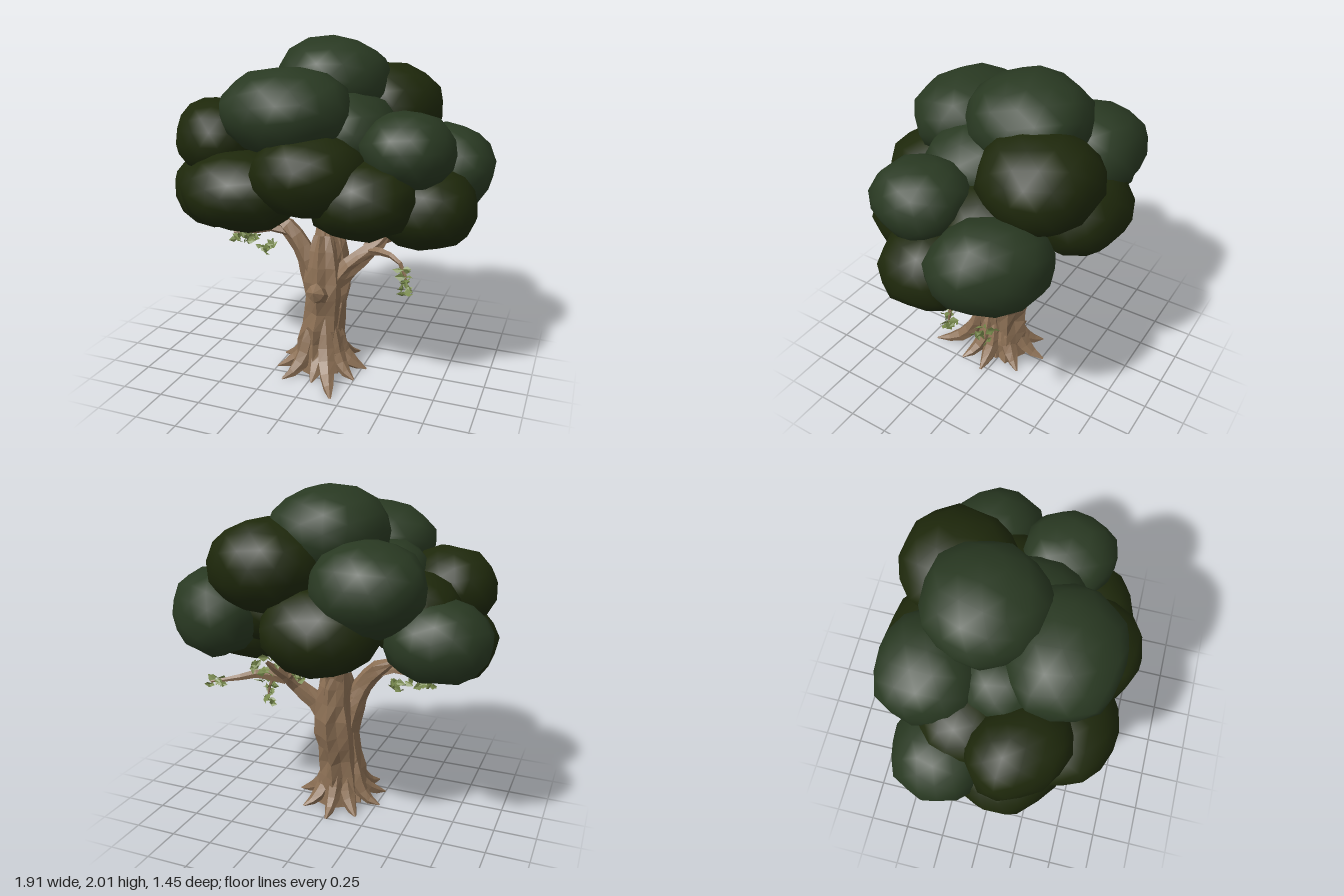
import * as THREE from 'three';
import { mergeVertices } from 'three/addons/utils/BufferGeometryUtils.js';

const material = (name, color, extra = {}) => Object.assign(new THREE.MeshStandardMaterial({ color, ...extra }), { name });

// Small seeded random generator
function seeded(seed) {
  return () => {
    seed = (seed * 16807) % 2147483647;
    return seed / 2147483647;
  };
}

export function createModel() {
  const tree = new THREE.Group();
  tree.name = 'tree';
  const bark = material('bark brown', 0x8b6f54, { flatShading: true });
  const lightGreen = material('light foliage green', 0x293922);
  const darkGreen = material('dark foliage green', 0x1e280b);
  const leafGreen = material('small leaf green', 0x788a4c, { flatShading: true, side: THREE.DoubleSide });
  const rand = seeded(4217);

  const add = (name, geometry, mat) => {
    const mesh = new THREE.Mesh(geometry, mat);
    mesh.name = name;
    tree.add(mesh);
    return mesh;
  };

  // Ridged, tapering tube along a path; kept above the ground
  function limb(name, path, radii, sides = 7, segments = 6, ridge = 0.14) {
    const curve = new THREE.CatmullRomCurve3(path.map((p) => new THREE.Vector3(...p)));
    const geo = new THREE.TubeGeometry(curve, segments, 1, sides);
    const pos = geo.attributes.position;
    const v = new THREE.Vector3();
    for (let i = 0; i <= segments; i++) {
      const centre = curve.getPointAt(i / segments);
      const t = (i / segments) * (radii.length - 1);
      const k = Math.min(Math.floor(t), radii.length - 2);
      const r = THREE.MathUtils.lerp(radii[k], radii[k + 1], t - k);
      const bumps = Array.from({ length: sides }, (_, j) =>
        1 + ridge * ((j % 2 ? -0.6 : 0.6) + (rand() - 0.5) * 1.2));
      for (let j = 0; j <= sides; j++) {
        const n = i * (sides + 1) + j;
        v.fromBufferAttribute(pos, n).sub(centre).multiplyScalar(r * bumps[j % sides]).add(centre);
        pos.setXYZ(n, v.x, Math.max(0, v.y), v.z);
      }
    }
    geo.computeVertexNormals();
    add(name, geo, bark);
  }

  // Trunk of two grown-together stems, and its underside
  limb('frontTrunk', [[0, 0, 0.09], [-0.01, 0.2, 0.09], [0.01, 0.4, 0.085], [0.01, 0.6, 0.08], [0, 0.85, 0.05]],
    [0.15, 0.12, 0.11, 0.105, 0.1, 0.09, 0.05], 12, 9, 0.2);
  limb('rearTrunk', [[0, 0, 0.02], [-0.01, 0.2, 0.01], [0.01, 0.4, -0.01], [0.015, 0.6, -0.05], [0, 0.9, -0.05]],
    [0.15, 0.12, 0.11, 0.11, 0.105, 0.09, 0.07], 12, 9, 0.2);
  add('trunkUnderside', new THREE.CircleGeometry(0.15, 12).rotateX(Math.PI / 2), bark).position.set(0, 0.002, 0.06);

  // Roots spreading from the foot of the trunk: tip x, tip z, height on the trunk
  const roots = [[0.28, 0.04, 0.2], [0.25, 0.2, 0.26], [0.19, 0.45, 0.3], [0.02, 0.32, 0.22], [-0.16, 0.34, 0.28],
    [-0.25, 0.2, 0.2], [-0.27, 0.02, 0.27], [-0.18, -0.17, 0.22], [-0.02, -0.26, 0.3], [0.17, -0.17, 0.24]];
  roots.forEach(([x, z, top]) => {
    const at = (f, y) => [x * f, y, 0.055 + (z - 0.055) * f];
    limb('root', [at(0.3, top + 0.06), at(0.4, top * 0.5), at(0.66, 0.035), at(1, 0)],
      [0.005, 0.04, 0.055, 0.05, 0.035, 0.006], 6, 6);
  });

  // Cut stub on the front of the trunk
  limb('stub', [[0.02, 0.45, 0.1], [0.02, 0.52, 0.18], [0.02, 0.56, 0.27], [0.02, 0.565, 0.28]],
    [0.07, 0.065, 0.05, 0.052, 0.055, 0], 8, 5, 0.1);

  // Branches and twigs: name, path, radii
  const branches = [
    ['centreBranch', [[0.01, 0.5, 0], [0.01, 0.75, -0.03], [-0.02, 1, -0.09], [-0.04, 1.25, -0.15]], [0.1, 0.09, 0.065, 0.05]],
    ['leftBranch', [[-0.03, 0.48, 0.05], [-0.09, 0.7, 0.07], [-0.19, 0.86, 0.08], [-0.3, 0.94, 0.08], [-0.36, 0.97, 0.08]], [0.08, 0.075, 0.062, 0.052, 0.045, 0]],
    ['rightBranch', [[0.04, 0.46, 0.02], [0.14, 0.64, 0.01], [0.26, 0.75, -0.03], [0.35, 0.84, -0.06], [0.4, 0.94, -0.08]], [0.08, 0.065, 0.055, 0.045, 0.03, 0]],
    ['rightFork', [[0.26, 0.76, -0.04], [0.31, 0.86, -0.13], [0.34, 0.92, -0.2], [0.36, 0.97, -0.25]], [0.04, 0.035, 0.028, 0.01]],
    ['leftTwig', [[-0.17, 0.84, 0.08], [-0.3, 0.88, 0.12], [-0.4, 0.86, 0.15], [-0.54, 0.84, 0.17]], [0.035, 0.022, 0.015, 0.006]],
    ['rightTwig', [[0.32, 0.81, -0.08], [0.46, 0.85, -0.16], [0.58, 0.83, -0.24], [0.72, 0.81, -0.3]], [0.035, 0.024, 0.016, 0.006]],
    ['hangingTwig', [[0.28, 0.76, -0.02], [0.4, 0.77, 0.03], [0.49, 0.73, 0.07], [0.53, 0.6, 0.08]], [0.03, 0.02, 0.014, 0.005]],
    ['innerTwig', [[0.28, 0.83, -0.1], [0.22, 0.89, -0.16], [0.14, 0.93, -0.22]], [0.02, 0.014, 0.006]],
  ];
  branches.forEach(([name, path, radii], i) => limb(name, path, radii, i < 3 ? 10 : 5, i < 3 ? 8 : 5, 0.18));

  // Foliage masses: uneven rounded lumps [x, y, z, rx, ry, rz, yaw]
  function foliage(name, [x, y, z, rx, ry, rz, yaw = 0], mat) {
    let geo = new THREE.IcosahedronGeometry(1, 2);
    geo.deleteAttribute('uv');
    geo.deleteAttribute('normal');
    geo = mergeVertices(geo, 1e-4);
    geo.rotateX(rand() * 6).rotateY(rand() * 6);
    const pos = geo.attributes.position;
    for (let i = 0; i < pos.count; i++) {
      const p = [pos.getX(i), pos.getY(i), pos.getZ(i)];
      const e = 2.15;
      const norm = Math.pow(p.reduce((s, c) => s + Math.pow(Math.abs(c), e), 0), 1 / e);
      const f = (0.955 + rand() * 0.09) / norm;
      pos.setXYZ(i, p[0] * f * rx, p[1] * f * ry, p[2] * f * rz);
    }
    geo.rotateY(yaw).computeVertexNormals();
    add(name, geo, mat).position.set(x, y, z);
  }

  const lightMasses = [
    [-0.01, 1.75, -0.14, 0.34, 0.25, 0.34],
    [-0.12, 1.63, 0.31, 0.37, 0.24, 0.32],
    [0.54, 1.44, 0.2, 0.26, 0.21, 0.27],
    [0.65, 1.26, -0.3, 0.33, 0.25, 0.25, -Math.PI / 4],
    [-0.32, 1.5, -0.37, 0.32, 0.25, 0.3],
    [-0.67, 1.22, -0.24, 0.29, 0.23, 0.27],
    [0.12, 1.48, 0.08, 0.33, 0.25, 0.32],
    [-0.28, 1.48, 0.02, 0.26, 0.22, 0.26],
  ];
  const darkMasses = [
    [-0.62, 1.43, 0.18, 0.3, 0.22, 0.24, -Math.PI / 4],
    [-0.36, 1.18, 0.39, 0.36, 0.22, 0.29],
    [0.05, 1.32, 0.41, 0.32, 0.23, 0.31],
    [0.33, 1.19, 0.34, 0.3, 0.22, 0.29],
    [0.62, 1.1, 0.09, 0.29, 0.23, 0.28],
    [0.26, 1.58, -0.36, 0.33, 0.26, 0.33],
    [-0.07, 1.26, -0.42, 0.33, 0.25, 0.3],
    [-0.63, 1.11, 0.15, 0.32, 0.23, 0.26, -Math.PI / 4],
    [-0.5, 1.33, -0.14, 0.28, 0.23, 0.26],
    [0.36, 1.3, -0.12, 0.3, 0.23, 0.28],
  ];
  lightMasses.forEach((m) => foliage('lightFoliage', m, lightGreen));
  darkMasses.forEach((m) => foliage('darkFoliage', m, darkGreen));

  // Small folded leaves gathered on the twigs: centre, half spread, count
  function leaves(centre, spread, count) {
    const points = [];
    const v = new THREE.Vector3();
    const turn = new THREE.Euler();
    const corners = [[0, 0, -1], [0.7, 0.25, 0], [0, 0, 1], [0, 0, -1], [0, 0, 1], [-0.7, 0.25, 0]];
    for (let i = 0; i < count; i++) {
      const o = centre.map((c, k) => c + (rand() * 2 - 1) * spread[k]);
      const size = 0.02 + rand() * 0.016;
      turn.set(rand() * 6, rand() * 6, rand() * 6);
      corners.forEach((c) => {
        v.set(...c).multiplyScalar(size).applyEuler(turn);
        points.push(v.x + o[0], v.y + o[1], v.z + o[2]);
      });
    }
    const geo = new THREE.BufferGeometry();
    geo.setAttribute('position', new THREE.Float32BufferAttribute(points, 3));
    geo.computeVertexNormals();
    add('leafCluster', geo, leafGreen);
  }
  leaves([-0.46, 0.82, 0.16], [0.09, 0.03, 0.06], 24);
  leaves([-0.33, 0.76, 0.17], [0.04, 0.04, 0.05], 14);
  leaves([0.51, 0.66, 0.08], [0.035, 0.06, 0.03], 12);
  leaves([0.52, 0.59, 0.08], [0.03, 0.04, 0.03], 12);
  leaves([0.68, 0.81, -0.28], [0.05, 0.02, 0.05], 13);
  leaves([0.14, 0.92, -0.23], [0.05, 0.04, 0.05], 14);
  leaves([0.42, 0.88, -0.2], [0.08, 0.05, 0.06], 14);
  leaves([0.38, 0.96, -0.2], [0.07, 0.04, 0.07], 12);

  return tree;
}
